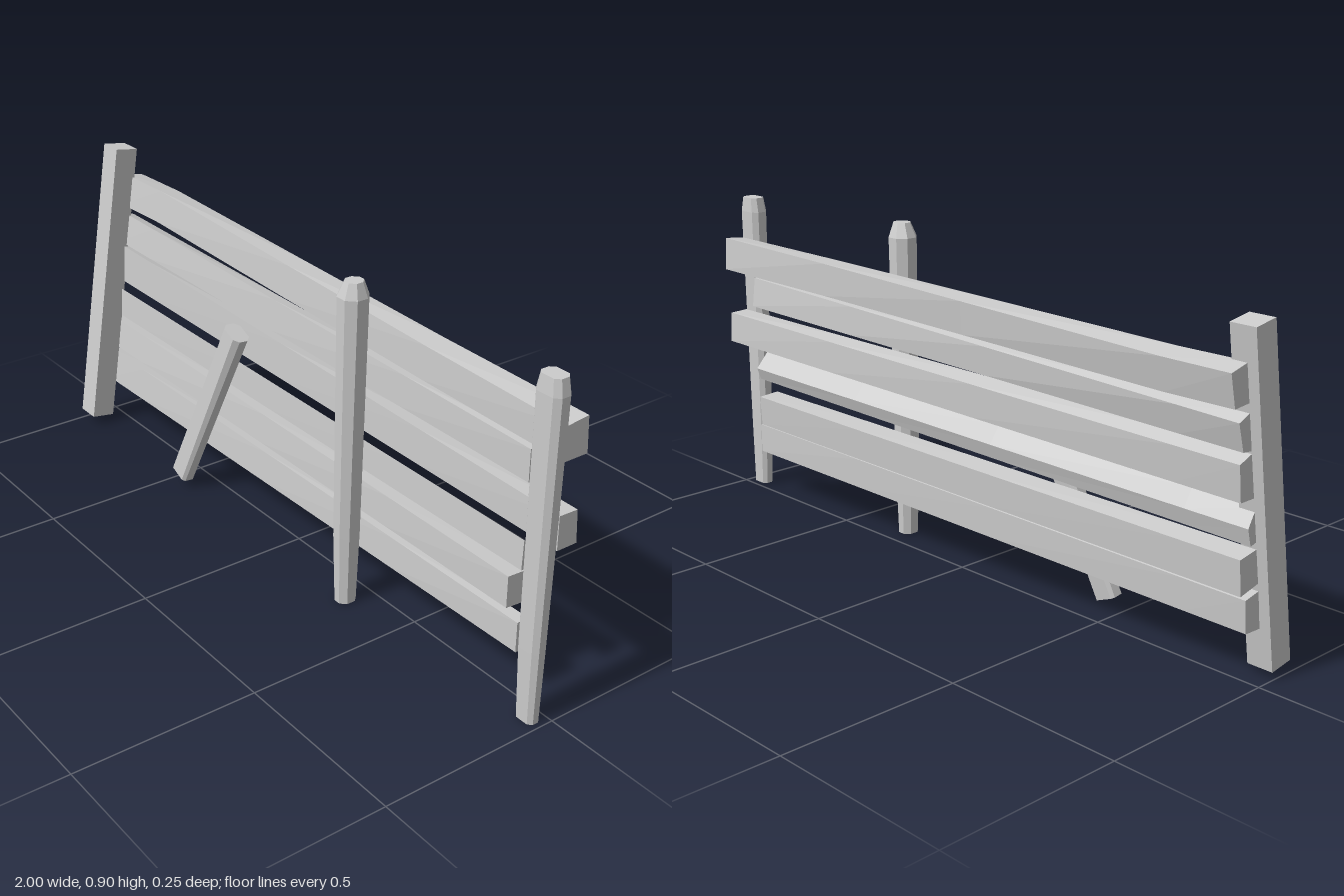
import * as THREE from 'three';

const material = new THREE.MeshStandardMaterial({ color: 0xcccccc, flatShading: true, side: THREE.DoubleSide });

// Skin a row of rings (arrays of [x, y, z]) and cap both ends
function loft(name, rings) {
  const pos = [];
  const tri = (...pts) => pts.forEach((p) => pos.push(...p));
  const n = rings[0].length;
  for (let i = 0; i < rings.length - 1; i++) {
    for (let j = 0; j < n; j++) {
      const k = (j + 1) % n;
      const a = rings[i][j], b = rings[i][k], c = rings[i + 1][k], d = rings[i + 1][j];
      tri(a, d, c);
      tri(a, c, b);
    }
  }
  const first = rings[0], last = rings[rings.length - 1];
  for (let j = 1; j < n - 1; j++) {
    tri(first[0], first[j], first[j + 1]);
    tri(last[0], last[j + 1], last[j]);
  }
  const geometry = new THREE.BufferGeometry();
  geometry.setAttribute('position', new THREE.Float32BufferAttribute(pos, 3));
  geometry.computeVertexNormals();
  const mesh = new THREE.Mesh(geometry, material);
  mesh.name = name;
  return mesh;
}

// Rectangle with cut corners at height y
function cutRing(y, x0, x1, z0, z1, cut) {
  return [
    [x1, y, z0 + cut], [x1, y, z1 - cut], [x1 - cut, y, z1], [x0 + cut, y, z1],
    [x0, y, z1 - cut], [x0, y, z0 + cut], [x0 + cut, y, z0], [x1 - cut, y, z0],
  ];
}

// Plank between two end sections; corners are [z, y]:
// front bottom, front top, back top, back bottom
function plank(name, xRight, left, right, bow) {
  const xLeft = -0.97;
  const rings = [0, 0.1, 0.45, 0.75, 1].map((t, i) => {
    const dz = [0, -0.012, -0.004, 0.002, 0][i] * bow;
    return left.map(([z, y], j) => [
      THREE.MathUtils.lerp(xLeft, xRight, t),
      THREE.MathUtils.lerp(y, right[j][1], t),
      THREE.MathUtils.lerp(z, right[j][0], t) + dz,
    ]);
  });
  return loft(name, rings);
}

export function createModel() {
  const group = new THREE.Group();
  group.name = 'brokenFence';

  // Square end post leaning backwards
  const leaning = new THREE.Mesh(new THREE.BoxGeometry(0.072, 0.86, 0.07), material);
  leaning.name = 'leaningPost';
  leaning.position.set(-0.963, 0.45, 0.02);
  leaning.rotation.x = -0.155;
  group.add(leaning);

  // Upright posts with cut corners and worn tops
  group.add(loft('middlePost', [
    cutRing(0, 0.285, 0.335, 0.05, 0.105, 0.015),
    cutRing(0.2, 0.28, 0.342, 0.044, 0.11, 0.018),
    cutRing(0.865, 0.28, 0.356, 0.036, 0.111, 0.022),
    cutRing(0.905, 0.298, 0.344, 0.05, 0.097, 0.014),
  ]));
  group.add(loft('endPost', [
    cutRing(0, 0.928, 0.985, 0.02, 0.057, 0.01),
    cutRing(0.2, 0.922, 0.99, 0.018, 0.062, 0.012),
    cutRing(0.86, 0.921, 1, 0.013, 0.066, 0.014),
    cutRing(0.902, 0.93, 0.992, 0.016, 0.062, 0.012),
  ]));

  // Rough planks, twisting from the leaning post to the upright one
  const planks = [
    [0.985, [[-0.045, 0.69], [-0.06, 0.785], [-0.122, 0.77], [-0.103, 0.685]],
      [[0.015, 0.69], [0.015, 0.778], [-0.05, 0.785], [-0.055, 0.69]], 1],
    [0.88, [[-0.03, 0.575], [-0.045, 0.667], [-0.085, 0.65], [-0.065, 0.578]],
      [[0.012, 0.59], [0.012, 0.675], [-0.025, 0.675], [-0.035, 0.59]], 0],
    [0.985, [[-0.015, 0.46], [-0.022, 0.573], [-0.075, 0.552], [-0.065, 0.46]],
      [[0.015, 0.465], [0.015, 0.555], [-0.04, 0.553], [-0.045, 0.465]], 0],
    [0.88, [[0, 0.35], [-0.006, 0.436], [-0.032, 0.39], [-0.02, 0.345]],
      [[0.015, 0.36], [0.012, 0.44], [-0.028, 0.395], [-0.015, 0.36]], 0],
    [0.84, [[0.017, 0.245], [0.004, 0.332], [-0.056, 0.322], [-0.048, 0.23]],
      [[0.015, 0.235], [0.015, 0.322], [-0.05, 0.318], [-0.045, 0.23]], 0],
    [0.88, [[0.032, 0.128], [0.02, 0.225], [-0.027, 0.215], [-0.02, 0.13]],
      [[0.015, 0.132], [0.015, 0.215], [-0.02, 0.215], [-0.02, 0.13]], 0],
  ];
  planks.forEach(([xRight, left, right, bow], i) => group.add(plank('plank' + (i + 1), xRight, left, right, bow)));

  // Loose board propped against the front
  const foot = new THREE.Vector3(-0.46, 0.032, 0.086);
  const axis = new THREE.Vector3(-0.25, 0.545, 0.028).sub(foot);
  const brace = loft('looseBoard', [
    cutRing(0, -0.034, 0.034, -0.021, 0.021, 0.008),
    cutRing(axis.length(), -0.037, 0.037, -0.027, 0.027, 0.014),
  ]);
  brace.position.copy(foot);
  brace.quaternion.setFromUnitVectors(new THREE.Vector3(0, 1, 0), axis.normalize());
  group.add(brace);

  return group;
}
